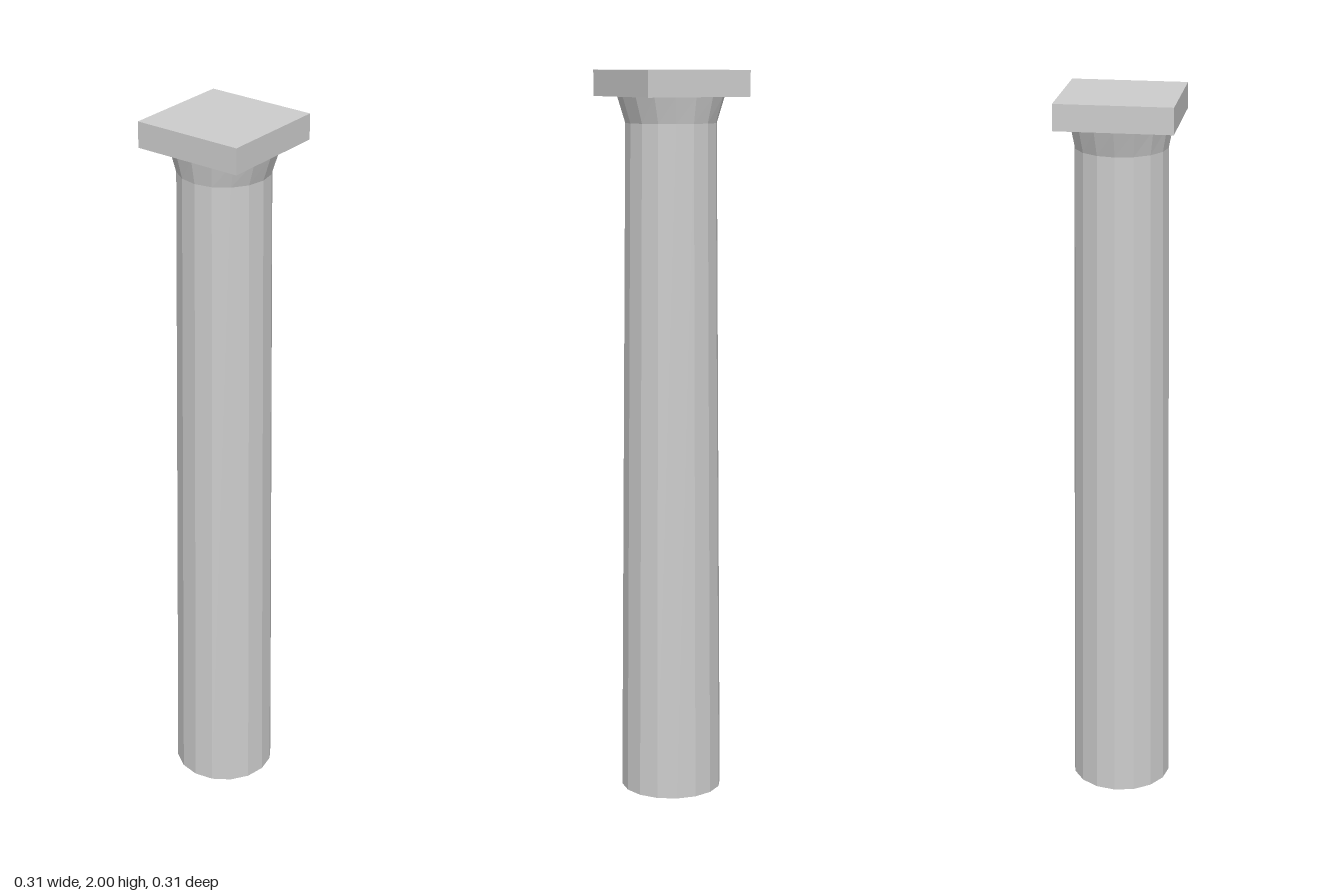
import * as THREE from 'three';

const SIDES = 16;

export function createModel() {
  const model = new THREE.Group();
  model.name = 'column';
  const stone = new THREE.MeshStandardMaterial({
    color: 0xcccccc, flatShading: true, side: THREE.DoubleSide,
  });
  stone.name = 'grey stone';

  const add = (name, geometry, y) => {
    const mesh = new THREE.Mesh(geometry, stone);
    mesh.name = name;
    mesh.position.y = y;
    model.add(mesh);
  };

  // Tapering shaft, open at the foot
  add('shaft', new THREE.CylinderGeometry(0.124, 0.14, 1.86, SIDES, 1, true), 0.93);

  // Flared neck, spreading a little wider in x than in z
  const neck = new THREE.CylinderGeometry(0.147, 0.124, 0.07, SIDES, 1, true);
  const p = neck.attributes.position;
  for (let i = 0; i < p.count; i++) {
    if (p.getY(i) > 0) p.setZ(i, p.getZ(i) * 0.935);
  }
  neck.computeVertexNormals();
  add('neck', neck, 1.895);

  // Square slab on top
  add('capitalSlab', new THREE.BoxGeometry(0.31, 0.07, 0.31), 1.965);

  return model;
}
